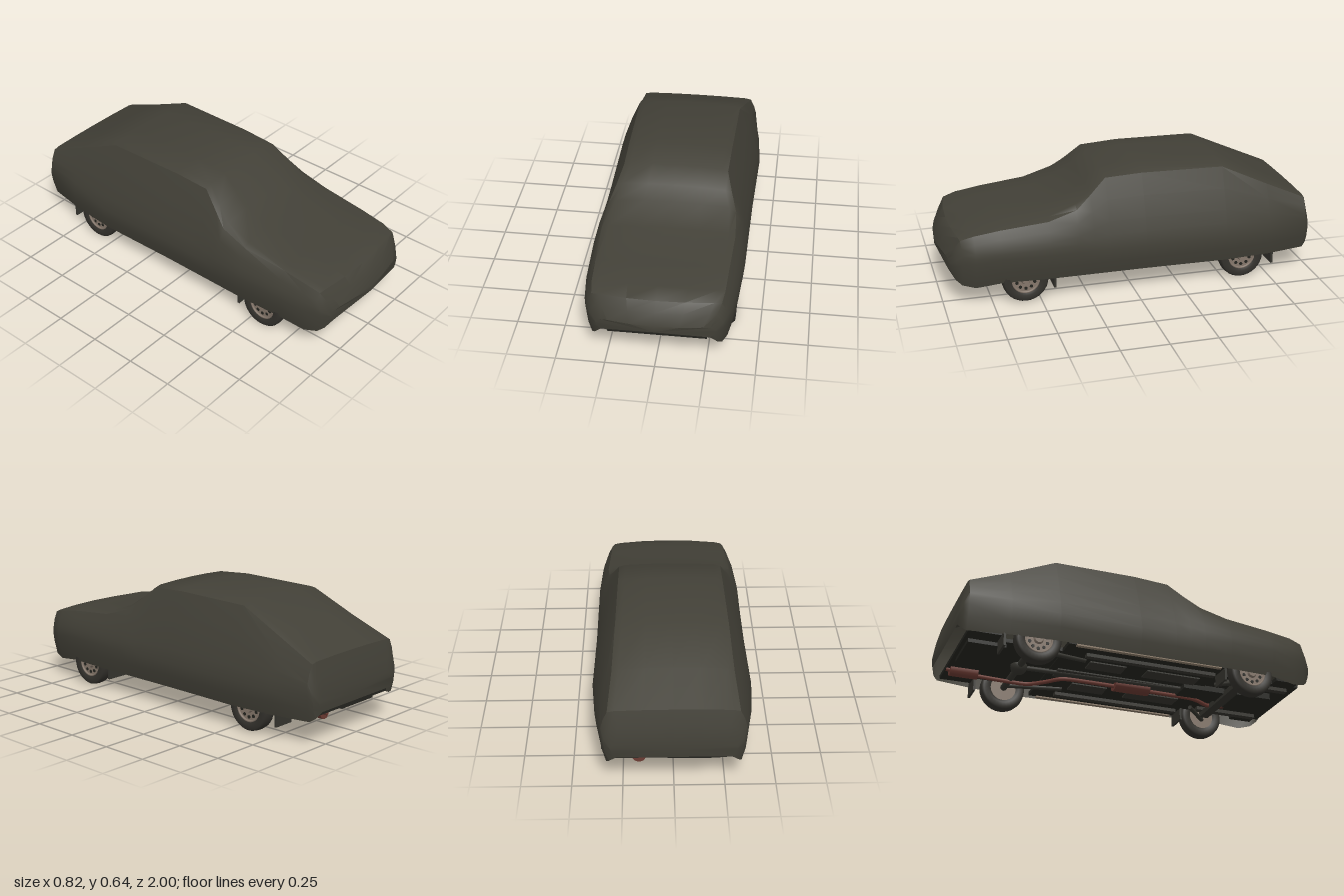
import * as THREE from 'three';
import { toCreasedNormals } from 'three/addons/utils/BufferGeometryUtils.js';

const mat = (name, color, side = THREE.FrontSide) => {
  const m = new THREE.MeshStandardMaterial({ color, side });
  m.name = name;
  return m;
};

// Cover stations, front to back: z, hem y, half width, roof edge x, roof edge y, top y
const STATIONS = [
  [1.0, 0.19, 0.295, 0.27, 0.25, 0.26],
  [0.97, 0.14, 0.33, 0.3, 0.31, 0.32],
  [0.935, 0.115, 0.35, 0.32, 0.36, 0.368],
  [0.85, 0.1, 0.37, 0.33, 0.38, 0.39],
  [0.7, 0.12, 0.388, 0.335, 0.4, 0.417],
  [0.45, 0.12, 0.4, 0.345, 0.425, 0.447],
  [0.3, 0.12, 0.4, 0.335, 0.47, 0.505],
  [0.22, 0.12, 0.4, 0.305, 0.535, 0.56],
  [0.135, 0.12, 0.4, 0.275, 0.61, 0.628],
  [-0.06, 0.12, 0.4, 0.278, 0.62, 0.645],
  [-0.5, 0.12, 0.408, 0.285, 0.615, 0.637],
  [-0.75, 0.12, 0.39, 0.3, 0.5, 0.522],
  [-0.962, 0.122, 0.355, 0.32, 0.408, 0.42],
  [-0.985, 0.14, 0.34, 0.305, 0.325, 0.335],
  [-1.0, 0.17, 0.305, 0.285, 0.25, 0.255],
];

// One half of a cross-section, from the hem up to the roof
function halfSection(hem, wide, edgeX, edgeY, top) {
  const bellyY = Math.min(0.26, (hem + edgeY) / 2);
  const side = [0.2, 0.4, 0.7].map((t) => [
    THREE.MathUtils.lerp(wide, edgeX, t) + 0.05 * t * (1 - t),
    THREE.MathUtils.lerp(bellyY, edgeY, t),
  ]);
  return [
    [wide - 0.025, hem], [wide - 0.007, (hem + bellyY) / 2], [wide, bellyY], ...side,
    [edgeX, edgeY], [edgeX - 0.035, edgeY + (top - edgeY) * 0.6],
    [edgeX * 0.45, top - (top - edgeY) * 0.1],
  ];
}

// Loft the draped shell and close its two ends; the nose bows back towards its corners
function coverGeometry() {
  const pos = [], idx = [];
  let n = 0;
  for (const [z, ...shape] of STATIONS) {
    const half = halfSection(...shape);
    const ring = [...half, [0, shape[4]], ...half.slice().reverse().map(([x, y]) => [-x, y])];
    const bow = 0.06 * (Math.max(0, z - 0.7) / 0.3) ** 2;
    n = ring.length;
    for (const [x, y] of ring) pos.push(x, y, z - bow * (x / 0.35) ** 2);
  }
  const rows = STATIONS.length;
  for (let i = 0; i < rows - 1; i++) {
    for (let j = 0; j < n - 1; j++) {
      const a = i * n + j, b = a + n;
      idx.push(a, b, a + 1, a + 1, b, b + 1);
    }
  }
  const front = rows * n, back = front + 1, last = (rows - 1) * n;
  pos.push(0, 0.225, 1.0, 0, 0.21, -1.0);
  for (let j = 0; j < n; j++) {
    const k = (j + 1) % n;
    idx.push(front, j, k, back, last + k, last + j);
  }
  const g = new THREE.BufferGeometry();
  g.setAttribute('position', new THREE.Float32BufferAttribute(pos, 3));
  g.setIndex(idx);
  return toCreasedNormals(g, 0.7);
}

export function createModel() {
  const car = new THREE.Group();
  car.name = 'coveredCar';
  const cover = mat('cover cloth', 0x424037, THREE.DoubleSide);
  const dark = mat('underbody', 0x24241f);
  const frame = mat('chassis', 0x35342e);
  const rubber = mat('tyre rubber', 0x33312c);
  const metal = mat('rim metal', 0x84766a);
  const paint = mat('sill paint', 0x8a7a68);
  const rust = mat('exhaust', 0x6b3a32);

  const add = (name, geo, material, x = 0, y = 0, z = 0, parent = car) => {
    const m = new THREE.Mesh(geo, material);
    m.name = name;
    m.position.set(x, y, z);
    parent.add(m);
    return m;
  };
  const box = (name, w, h, d, material, x, y, z) =>
    add(name, new THREE.BoxGeometry(w, h, d), material, x, y, z);
  const rod = (name, r, from, to, material) => {
    const a = new THREE.Vector3(...from), b = new THREE.Vector3(...to);
    const m = add(name, new THREE.CylinderGeometry(r, r, a.distanceTo(b), 12), material);
    m.position.copy(a).lerp(b, 0.5);
    m.quaternion.setFromUnitVectors(new THREE.Vector3(0, 1, 0), b.sub(a).normalize());
    return m;
  };

  add('cover', coverGeometry(), cover);

  // Floor, stepped inwards around the wheels
  box('middleFloor', 0.72, 0.02, 0.86, dark, 0, 0.135, -0.01);
  box('frontFloor', 0.5, 0.02, 0.5, dark, 0, 0.14, 0.66);
  box('rearFloor', 0.5, 0.02, 0.52, dark, 0, 0.14, -0.69);
  box('frontApron', 0.6, 0.02, 0.13, dark, 0, 0.14, 0.82);
  box('rearApron', 0.64, 0.02, 0.18, dark, 0, 0.14, -0.86);
  box('tunnel', 0.1, 0.015, 0.8, frame, 0, 0.125, 0);
  box('frontCrossmember', 0.46, 0.03, 0.05, frame, 0, 0.1, 0.56);
  box('enginePan', 0.2, 0.035, 0.2, dark, -0.03, 0.11, 0.7);
  box('gearbox', 0.12, 0.03, 0.24, dark, -0.04, 0.115, 0.42);
  box('fuelTank', 0.26, 0.03, 0.2, dark, -0.1, 0.125, -0.83);

  // Wheel shapes, turned about the axle
  const tyre = new THREE.LatheGeometry([
    [0.07, -0.028], [0.085, -0.036], [0.11, -0.036], [0.119, -0.026], [0.122, 0],
    [0.119, 0.026], [0.11, 0.036], [0.085, 0.036], [0.07, 0.028],
  ].map(([x, y]) => new THREE.Vector2(x, y)), 32);
  const rim = new THREE.CylinderGeometry(0.073, 0.073, 0.044, 28);
  const lip = new THREE.TorusGeometry(0.07, 0.006, 8, 28).rotateX(Math.PI / 2);
  const hub = new THREE.CylinderGeometry(0.02, 0.027, 0.014, 16);
  const slot = new THREE.CylinderGeometry(0.009, 0.009, 0.004, 10);

  for (const s of [1, -1]) {
    const side = s > 0 ? 'left' : 'right';
    for (const [end, z, flapZ] of [['Front', 0.58, 0.425], ['Rear', -0.6, -0.775]]) {
      const wheel = new THREE.Group();
      wheel.name = side + end + 'Wheel';
      wheel.position.set(s * 0.333, 0.122, z);
      wheel.rotation.z = -s * Math.PI / 2;
      car.add(wheel);
      add('tyre', tyre, rubber, 0, 0, 0, wheel);
      add('rim', rim, metal, 0, 0, 0, wheel);
      add('rimLip', lip, metal, 0, 0.026, 0, wheel);
      add('hubCap', hub, metal, 0, 0.027, 0, wheel);
      for (let k = 0; k < 10; k++) {
        const a = (k / 10) * Math.PI * 2;
        add('rimSlot', slot, dark, 0.049 * Math.cos(a), 0.0225, 0.049 * Math.sin(a), wheel);
      }
      box(side + end + 'MudFlap', 0.12, 0.08, 0.012, frame, s * 0.302, 0.1, flapZ);
    }
    box(side + 'Sill', 0.022, 0.035, 0.8, paint, s * 0.358, 0.135, 0);
    box(side + 'FloorRail', 0.03, 0.022, 0.72, frame, s * 0.27, 0.117, 0.04);
    box(side + 'FloorRib', 0.09, 0.01, 0.3, frame, s * 0.15, 0.123, 0.2);
    box(side + 'RearFloorRib', 0.09, 0.01, 0.2, frame, s * 0.15, 0.123, -0.17);
    box(side + 'FrontRail', 0.035, 0.03, 0.36, frame, s * 0.2, 0.125, 0.68);
    rod(side + 'TrailingArm', 0.012, [s * 0.25, 0.115, -0.6], [s * 0.2, 0.12, -0.3], frame);
    rod(side + 'FrontArm', 0.012, [s * 0.3, 0.1, 0.58], [s * 0.17, 0.11, 0.45], frame);
  }

  // Axles and drive shaft
  rod('rearAxle', 0.018, [-0.3, 0.122, -0.6], [0.3, 0.122, -0.6], frame);
  rod('frontAxle', 0.012, [-0.3, 0.122, 0.58], [0.3, 0.122, 0.58], frame);
  rod('driveShaft', 0.013, [-0.04, 0.118, 0.32], [0, 0.12, -0.58], frame);
  add('differential', new THREE.SphereGeometry(0.045, 16, 12), frame, 0, 0.122, -0.6);

  // Exhaust line
  const path = new THREE.CatmullRomCurve3([
    [0.12, 0.12, 0.63], [0.1, 0.105, 0.52], [0.04, 0.105, 0.4], [0.03, 0.105, 0.04],
    [0.03, 0.105, -0.33], [0.09, 0.1, -0.42], [0.16, 0.1, -0.52],
    [0.17, 0.11, -0.78], [0.17, 0.125, -0.95],
  ].map((p) => new THREE.Vector3(...p)), false, 'catmullrom', 0.3);
  add('exhaustPipe', new THREE.TubeGeometry(path, 60, 0.011, 10), rust);
  rod('middleSilencer', 0.03, [0.03, 0.11, 0.14], [0.03, 0.11, -0.06], rust).scale.x = 1.4;
  rod('rearSilencer', 0.034, [0.17, 0.125, -0.78], [0.17, 0.125, -0.93], rust);

  return car;
}
